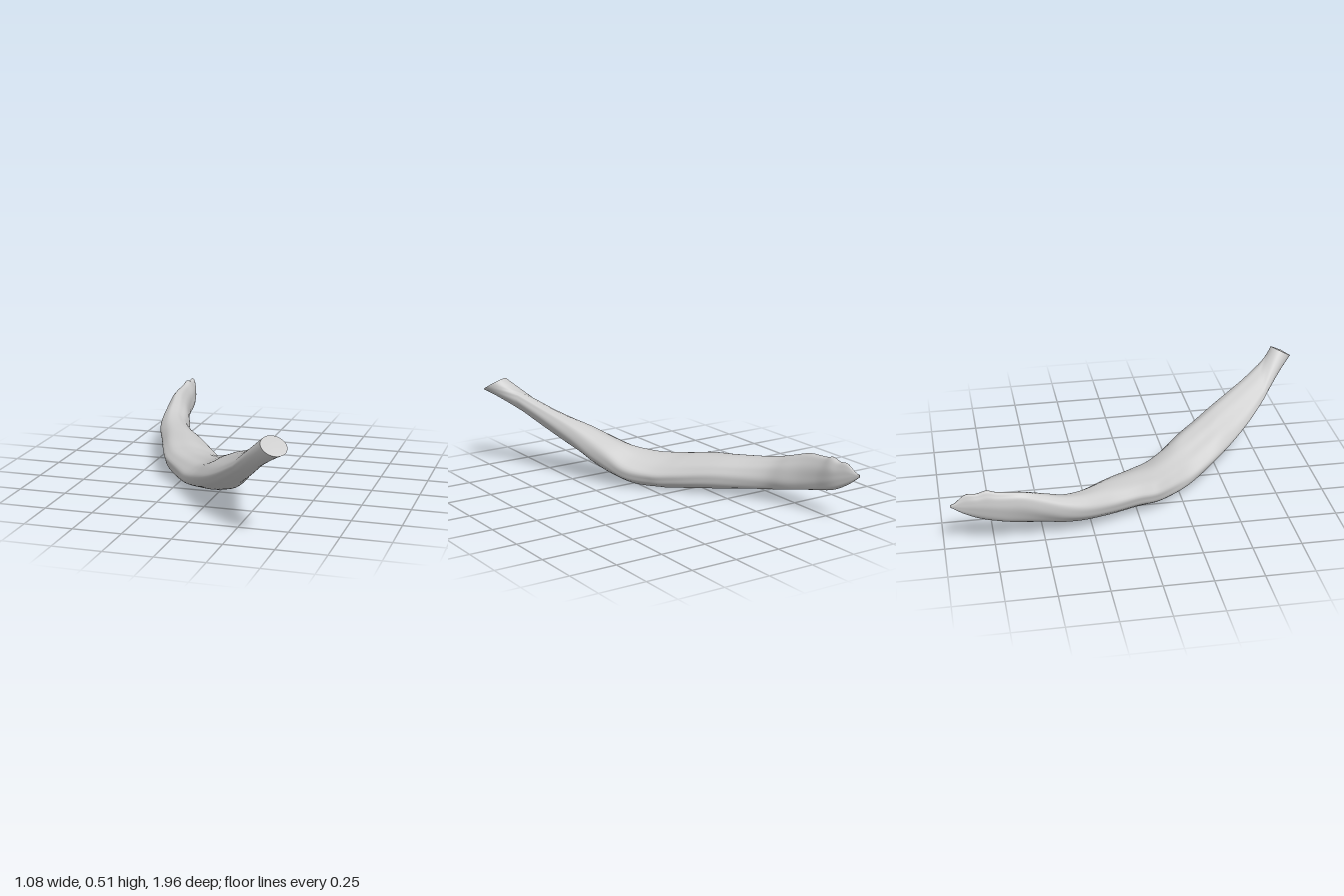
import * as THREE from 'three';

// Cross-sections along z: [z, xMin, xMax, yMin, yMax, lean, sag towards lower +x]
const SECTIONS = [
  [-0.96, -0.532, -0.526, 0.258, 0.275, 0, 0],
  [-0.9, -0.528, -0.5, 0.21, 0.3, -0.1, 0],
  [-0.82, -0.533, -0.472, 0.165, 0.318, -0.2, 0],
  [-0.7, -0.538, -0.462, 0.13, 0.305, -0.3, 0],
  [-0.6, -0.542, -0.44, 0.108, 0.295, -0.4, 0],
  [-0.5, -0.537, -0.405, 0.087, 0.265, -0.4, 0],
  [-0.4, -0.53, -0.375, 0.067, 0.235, -0.37, 0],
  [-0.3, -0.51, -0.31, 0.051, 0.217, -0.3, 0],
  [-0.15, -0.448, -0.19, 0.03, 0.206, -0.2, 0],
  [0, -0.39, -0.07, 0.014, 0.195, -0.25, 0],
  [0.1, -0.345, 0.015, 0.005, 0.18, -0.18, 0],
  [0.2, -0.272, 0.095, 0.014, 0.187, 0.02, 0.1],
  [0.3, -0.195, 0.15, 0.04, 0.225, 0.33, 0.2],
  [0.4, -0.12, 0.2, 0.075, 0.267, 0.43, 0.2],
  [0.5, -0.04, 0.253, 0.118, 0.31, 0.52, 0.14],
  [0.6, 0.045, 0.305, 0.17, 0.35, 0.6, 0.14],
  [0.7, 0.135, 0.358, 0.232, 0.393, 0.64, 0.14],
  [0.8, 0.235, 0.418, 0.304, 0.443, 0.64, 0.12],
];
const SIDES = 56, BODY_RINGS = 130, NECK_RINGS = 14;
const Z_TIP = SECTIONS[0][0], Z_NECK = 0.8;

const profile = new THREE.CubicInterpolant(
  SECTIONS.map((s) => s[0]), SECTIONS.flatMap((s) => s.slice(1)), 6);

// Shallow lengthwise folds that drift around the body
function fold(t, z) {
  const a = Math.sin(5 * t + 2.2 * z + 0.8 * Math.sin(4 * z));
  const b = Math.sin(9 * t - 3 * z + Math.sin(7 * z + 2 * t));
  return 0.014 * a * (0.6 + 0.4 * Math.sin(6 * z)) + 0.014 * b;
}

function bodyPoint(t, z) {
  const [x0, x1, y0, y1, lean, sag] = profile.evaluate(z);
  const k = 1 + fold(t, z);
  const phi = Math.asin(lean);
  // the upper -x side flattens while the lower +x side fills out
  const c = Math.cos(t + Math.PI / 4 + phi / 2);
  const push = sag * c * Math.abs(c);
  const shift = Math.abs(push);
  // the dried tip has an uneven upper edge
  const ragged = 0.008 * Math.sin(z * 55) * THREE.MathUtils.smoothstep(-z, 0.7, 0.82) * Math.max(0, Math.sin(t));
  return new THREE.Vector3(
    (x0 + x1) / 2 + ((x1 - x0) / 2) * (k * Math.cos(t) + shift),
    (y0 + y1) / 2 + ((y1 - y0) / 2) * (k * Math.sin(t + phi) - shift) + ragged,
    z);
}

// Rim of the cut end, a tilted ellipse
function rimPoint(t) {
  return new THREE.Vector3(
    0.477 + 0.063 * Math.cos(t),
    0.482 + 0.03 * Math.sin(t) - 0.018 * Math.cos(t),
    0.945 - 0.054 * Math.sin(t));
}

function ring(pointAt) {
  return Array.from({ length: SIDES }, (_, j) => pointAt((j / SIDES) * Math.PI * 2));
}

function surface(points, index) {
  const geometry = new THREE.BufferGeometry().setFromPoints(points);
  geometry.setIndex(index);
  geometry.computeVertexNormals();
  return geometry;
}

function skin(rings) {
  const index = [];
  for (let i = 0; i < rings.length - 1; i++) {
    for (let j = 0; j < SIDES; j++) {
      const a = i * SIDES + j, b = i * SIDES + ((j + 1) % SIDES);
      index.push(a, b, a + SIDES, b, b + SIDES, a + SIDES);
    }
  }
  return surface(rings.flat(), index);
}

function cap(points, center) {
  const index = [];
  for (let j = 0; j < SIDES; j++) index.push(SIDES, j, (j + 1) % SIDES);
  return surface([...points, center], index);
}

export function createModel() {
  const group = new THREE.Group();
  const material = new THREE.MeshStandardMaterial({ color: 0xcccccc, side: THREE.DoubleSide });
  const add = (name, geometry) => {
    const mesh = new THREE.Mesh(geometry, material);
    mesh.name = name;
    group.add(mesh);
  };

  // Curved body from the thin tip to the start of the neck
  const rings = [];
  for (let i = 0; i <= BODY_RINGS; i++) {
    const z = THREE.MathUtils.lerp(Z_TIP, Z_NECK, i / BODY_RINGS);
    rings.push(ring((t) => bodyPoint(t, z)));
  }
  // Neck narrowing to the cut end
  for (let i = 1; i <= NECK_RINGS; i++) {
    const f = i / NECK_RINGS;
    rings.push(ring((t) => bodyPoint(t, Z_NECK).lerp(rimPoint(t), f)));
  }
  add('body', skin(rings));

  // Slightly domed cut end
  add('cutEnd', cap(rings[rings.length - 1], new THREE.Vector3(0.478, 0.487, 0.948)));
  return group;
}
